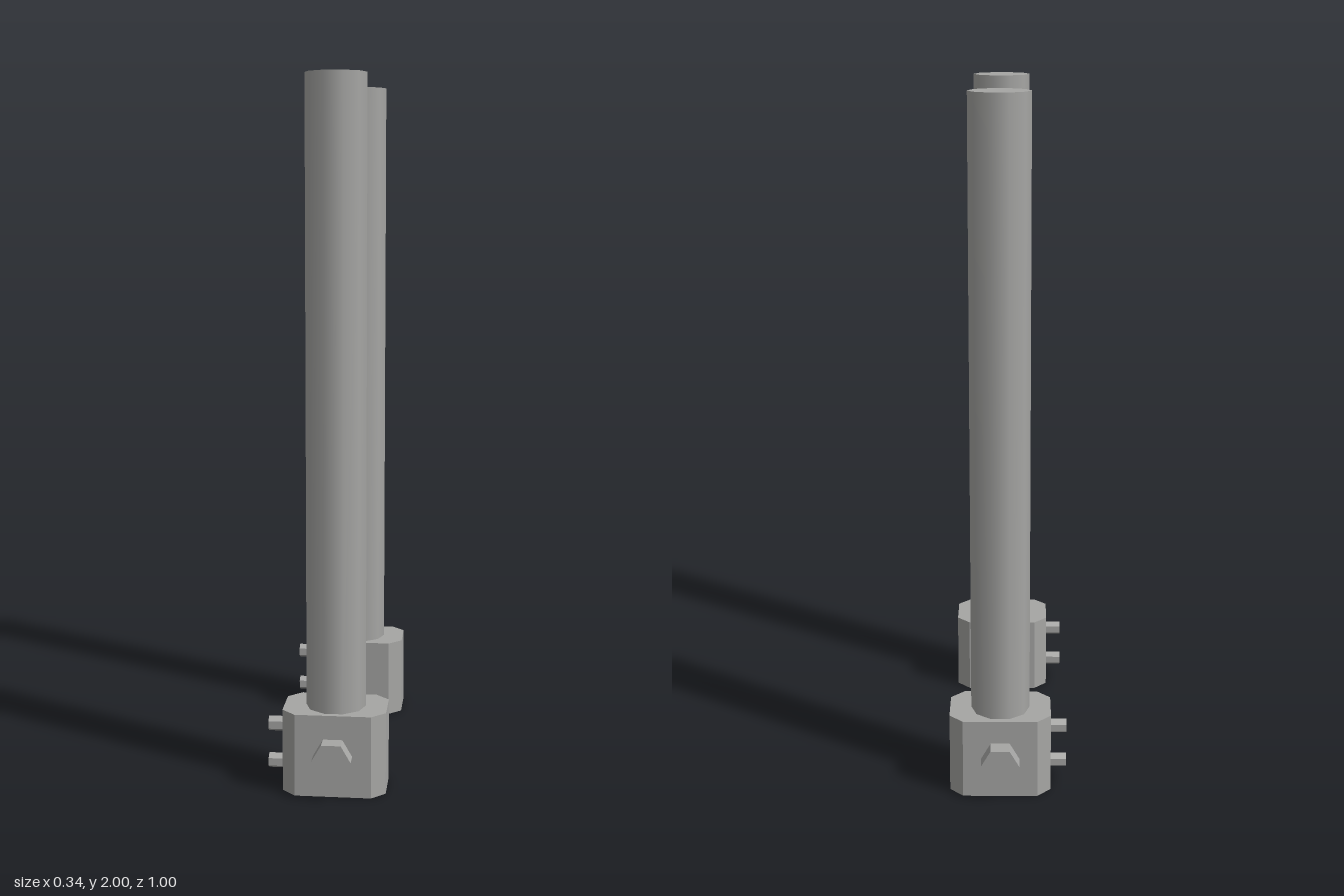
import * as THREE from 'three';

const CX = 0.023; // shared x of pole, block and large bolt
const CZ = 0.352; // distance of each post from the middle

export function createModel() {
  const model = new THREE.Group();
  model.name = 'postPair';
  const grey = new THREE.MeshStandardMaterial({ color: 0xa6a6a4 });
  grey.name = 'metal grey';

  const add = (parent, name, geometry, x, y, z) => {
    const mesh = new THREE.Mesh(geometry, grey);
    mesh.name = name;
    mesh.position.set(x, y, z);
    parent.add(mesh);
  };

  // Cylinder with one corner on +x
  const prism = (radius, length, sides) =>
    new THREE.CylinderGeometry(radius, radius, length, sides, 1, false, Math.PI / 2);

  // Faceted hexagonal bolt
  const hexBolt = (radius, length) => {
    const g = prism(radius, length, 6).toNonIndexed();
    g.computeVertexNormals();
    return g;
  };

  // Block outline with cut corners, extruded upward
  const w = 0.1465, d = 0.0977, c = 0.039, blockHeight = 0.237;
  const outline = new THREE.Shape([
    [w, c - d], [w, d - c], [w - c, d], [c - w, d],
    [-w, d - c], [-w, c - d], [c - w, -d], [w - c, -d],
  ].map(([x, y]) => new THREE.Vector2(x, y)));
  const blockGeometry = new THREE.ExtrudeGeometry(outline, { depth: blockHeight, bevelEnabled: false });
  blockGeometry.rotateX(-Math.PI / 2);

  const poleGeometry = prism(0.085, 2 - blockHeight, 10);
  const largeBolt = hexBolt(0.055, 0.06).rotateX(Math.PI / 2);
  const smallBolt = hexBolt(0.022, 0.06).rotateZ(Math.PI / 2);

  // Two posts, their large bolts facing outward
  for (const side of [1, -1]) {
    const post = new THREE.Group();
    post.name = side > 0 ? 'frontPost' : 'backPost';
    model.add(post);
    add(post, 'clampBlock', blockGeometry, CX, 0, side * CZ);
    add(post, 'pole', poleGeometry, CX, (2 + blockHeight) / 2, side * CZ);
    add(post, 'largeBolt', largeBolt, CX, 0.12, side * 0.468);
    for (const y of [0.066, 0.176]) add(post, 'smallBolt', smallBolt, -0.14, y, side * CZ);
  }
  return model;
}
